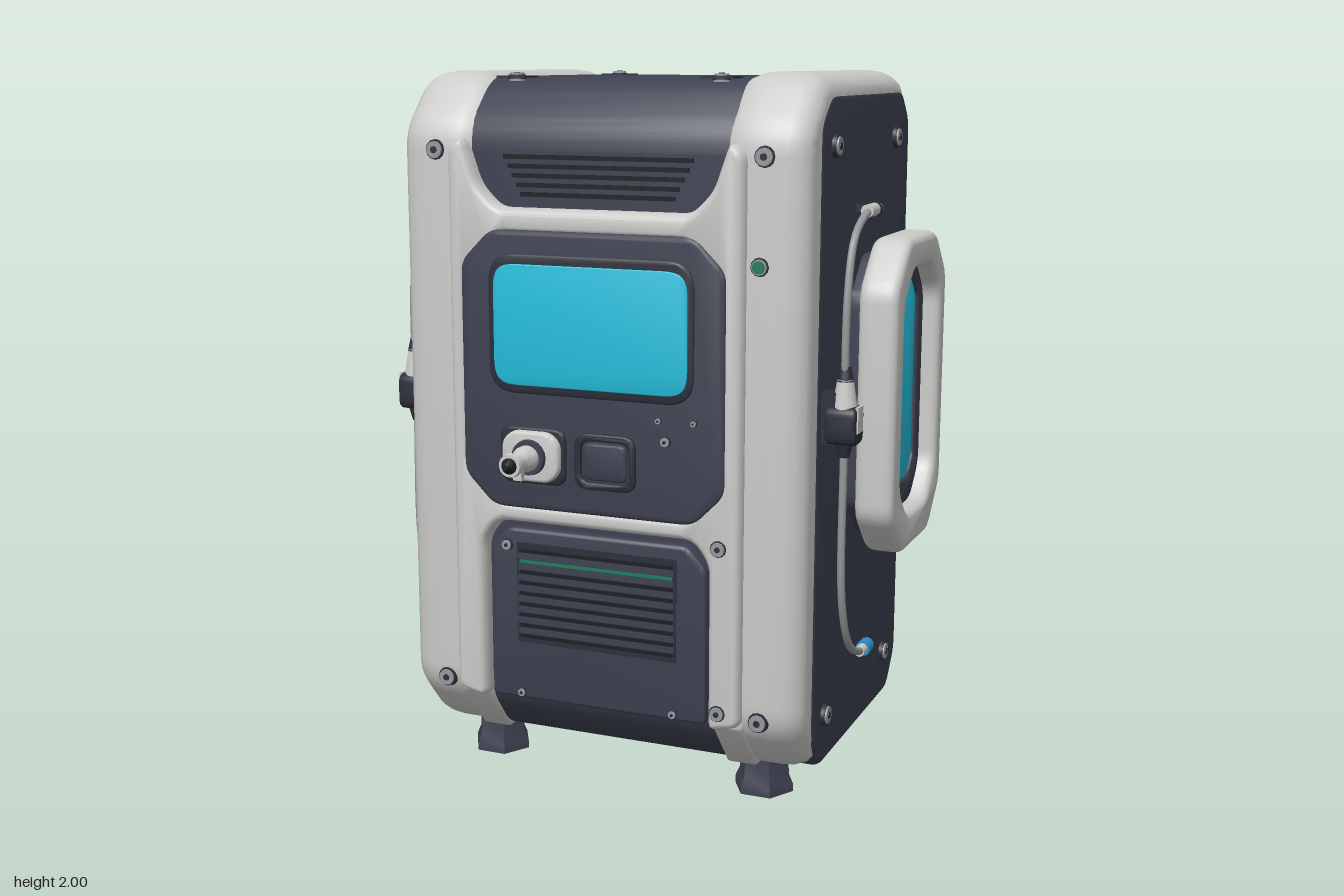
import * as THREE from 'three';
import { toCreasedNormals } from 'three/addons/utils/BufferGeometryUtils.js';

const mat = (name, color) => {
  const m = new THREE.MeshStandardMaterial({ color });
  m.name = name;
  return m;
};

// Polygon with softly rounded corners
function roundedPath(pts, r, Type = THREE.Shape) {
  const path = new Type();
  const v = pts.map(p => new THREE.Vector2(p[0], p[1]));
  v.forEach((p, i) => {
    const a = v[(i + v.length - 1) % v.length], b = v[(i + 1) % v.length];
    const toward = q => p.clone().add(q.clone().sub(p).setLength(Math.min(r, p.distanceTo(q) * 0.45)));
    const s = toward(a), e = toward(b);
    if (i) path.lineTo(s.x, s.y); else path.moveTo(s.x, s.y);
    path.quadraticCurveTo(p.x, p.y, e.x, e.y);
  });
  path.closePath();
  return path;
}

// Rectangle with cut corners
const octagon = (u0, u1, v0, v1, c) => [
  [u0 + c, v0], [u1 - c, v0], [u1, v0 + c], [u1, v1 - c],
  [u1 - c, v1], [u0 + c, v1], [u0, v1 - c], [u0, v0 + c]];

// Slab of an (x, y) outline between z0 and z1
function slabZ(pts, z0, z1, { r = 0.02, bt = 0.01, bs = 0.01, hole } = {}) {
  const shape = roundedPath(pts, r);
  if (hole) shape.holes.push(roundedPath(hole, r, THREE.Path));
  const g = new THREE.ExtrudeGeometry(shape, {
    depth: z1 - z0 - 2 * bt, bevelEnabled: true, bevelThickness: bt, bevelSize: bs,
    bevelOffset: -bs, bevelSegments: 4, curveSegments: 4 });
  g.translate(0, 0, z0 + bt);
  return toCreasedNormals(g, 0.6);
}

// Slab of a (z, y) outline between two x positions
function slabX(pts, xa, xb, opt = {}) {
  const flip = p => p.map(([z, y]) => [-z, y]).reverse();
  const o = { ...opt, hole: opt.hole && flip(opt.hole) };
  return slabZ(flip(pts), Math.min(xa, xb), Math.max(xa, xb), o).rotateY(Math.PI / 2);
}

export function createModel() {
  const root = new THREE.Group();
  root.name = 'machineCabinet';
  const white = mat('offWhite', 0xcbcbc9), dark = mat('slate', 0x3d4150), deep = mat('darkSlate', 0x2c2f3a);
  const black = mat('nearBlack', 0x1c1e25), cyan = mat('cyanGlass', 0x23bddb), steel = mat('steel', 0x96989b);
  const blue = mat('bluePlug', 0x2b8fc4), green = mat('greenLight', 0x1f7a5c);

  const add = (name, geo, m, x = 0, y = 0, z = 0) => {
    const mesh = new THREE.Mesh(geo, m);
    mesh.name = name;
    mesh.position.set(x, y, z);
    root.add(mesh);
    return mesh;
  };
  const box = (name, m, w, h, d, x, y, z) => add(name, new THREE.BoxGeometry(w, h, d), m, x, y, z);

  // Bolt facing along the given direction
  const bolt = (x, y, z, dir, r = 0.03) => {
    const g = new THREE.Group();
    g.name = 'bolt';
    [[r, 0.012, deep], [r * 0.85, 0.022, steel], [r * 0.35, 0.026, deep]].forEach(([rad, h, m]) => {
      const c = new THREE.Mesh(new THREE.CylinderGeometry(rad * 0.9, rad, h, 12), m);
      c.name = 'boltLayer';
      g.add(c);
    });
    g.position.set(x, y, z);
    g.quaternion.setFromUnitVectors(new THREE.Vector3(0, 1, 0), new THREE.Vector3(...dir));
    root.add(g);
  };

  // Dark shell: sides, back and underside
  add('sideAndBackShell', slabX([[0.29, 0.2], [0.2, 0.095], [-0.5, 0.095], [-0.588, 0.2],
    [-0.588, 1.86], [-0.5, 1.95], [0.2, 1.95], [0.29, 1.87]], -0.592, 0.592,
    { r: 0.04, bt: 0.025, bs: 0.022 }), dark);

  // Dark centre band over the top and front
  add('centreBand', slabX([[0.37, 0.25], [0.25, 0.1], [-0.45, 0.12], [-0.57, 0.25],
    [-0.57, 1.91], [-0.5, 1.985], [0.24, 1.985], [0.37, 1.85]], -0.385, 0.385,
    { r: 0.06, bt: 0.005, bs: 0.005 }), dark);

  // Flap where the band runs down the back
  add('backFlap', slabZ([[-0.38, 1.86], [-0.35, 1.68], [-0.28, 1.61], [0.28, 1.61], [0.35, 1.68], [0.38, 1.86]],
    -0.591, -0.58, { bt: 0.002, bs: 0.002 }), dark);

  for (const s of [-1, 1]) {
    // Pale columns at the corners
    add('cornerColumn', slabX([[0.39, 0.26], [0.25, 0.1], [-0.45, 0.12], [-0.56, 0.25],
      [-0.574, 1.92], [-0.5, 2], [0.25, 2], [0.39, 1.85]], s * 0.35, s * 0.59,
      { r: 0.06, bt: 0.09, bs: 0.055 }), white);
    // Pale lip beside the sloping lower front
    add('lowerLip', slabX([[0.385, 0.28], [0.385, 0.25], [0.258, 0.1], [0.2, 0.1], [0.2, 0.28]],
      s * 0.34, s * 0.43, { r: 0.01 }), white);
  }

  // Pale front frame with the display opening
  const half = [[0.43, 1.8], [0.385, 1.83], [0.34, 1.7], [0.28, 1.64]];
  const lowHalf = [[0.29, 0.77], [0.335, 0.71], [0.335, 0.24], [0.43, 0.26]];
  const mirror = p => p.map(([x, y]) => [-x, y]).reverse();
  add('frontFrame', slabZ([...half, ...mirror(half), ...mirror(lowHalf), ...lowHalf], 0.28, 0.418,
    { r: 0.03, bt: 0.035, bs: 0.02, hole: octagon(-0.375, 0.375, 0.83, 1.57, 0.1) }), white);

  // Display panel
  add('displayPanel', slabZ(octagon(-0.388, 0.388, 0.815, 1.585, 0.09), 0.35, 0.424,
    { r: 0.03, bt: 0.015, bs: 0.015 }), dark);
  add('screenBezel', slabZ(octagon(-0.3, 0.3, 1.14, 1.52, 0.04), 0.41, 0.429,
    { r: 0.04, bt: 0.005, bs: 0.008 }), deep);
  add('screen', slabZ(octagon(-0.283, 0.283, 1.163, 1.493, 0.03), 0.425, 0.433,
    { r: 0.04, bt: 0.002, bs: 0.003 }), cyan);

  // Tap with its mounting plate
  add('tapBackplate', slabZ(octagon(-0.27, -0.07, 0.89, 1.05, 0.02), 0.41, 0.432), deep);
  add('tapPlate', slabZ(octagon(-0.255, -0.083, 0.9, 1.04, 0.03), 0.42, 0.452), white);
  const tapParts = [
    ['tapCollar', dark, [[0, 0.44], [0.052, 0.44], [0.048, 0.465], [0, 0.465]]],
    ['tapBody', white, [[0, 0.46], [0.036, 0.46], [0.036, 0.485], [0.025, 0.505], [0.022, 0.535], [0.033, 0.555], [0.031, 0.57], [0, 0.57]]],
    ['tapTip', black, [[0, 0.565], [0.022, 0.565], [0.022, 0.573], [0.008, 0.595], [0, 0.595]]]];
  for (const [name, m, pts] of tapParts) {
    const g = new THREE.LatheGeometry(pts.map(p => new THREE.Vector2(...p)), 20).rotateX(Math.PI / 2);
    add(name, toCreasedNormals(g, 0.6), m, -0.17, 0.97, 0);
  }
  box('tapLever', white, 0.025, 0.05, 0.02, -0.17, 0.945, 0.515);

  // Square button and small indicators
  add('buttonFrame', slabZ(octagon(-0.045, 0.135, 0.89, 1.045, 0.02), 0.41, 0.434,
    { hole: octagon(-0.025, 0.115, 0.91, 1.025, 0.015), bt: 0.005, bs: 0.005 }), deep);
  add('button', slabZ(octagon(-0.02, 0.11, 0.915, 1.02, 0.012), 0.41, 0.432), dark);
  bolt(0.22, 1.04, 0.424, [0, 0, 1], 0.016);
  bolt(0.2, 1.095, 0.422, [0, 0, 1], 0.01);
  bolt(0.3, 1.095, 0.422, [0, 0, 1], 0.01);

  // Upper vent
  for (let i = 0; i < 5; i++) {
    box('upperVentSlot', black, 0.55 - 0.025 * (4 - i), 0.012, 0.012, 0, 1.675 + i * 0.025, 0.369);
  }

  // Lower access panel and vent
  add('lowerPanel', slabZ([[-0.325, 0.25], [0.325, 0.25], [0.325, 0.69], [0.27, 0.75], [-0.27, 0.75], [-0.325, 0.69]],
    0.35, 0.395, { bt: 0.012, bs: 0.012 }), dark);
  box('ventRecess', deep, 0.48, 0.29, 0.006, 0, 0.565, 0.395);
  for (let i = 0; i < 9; i++) {
    box('ventSlat', i === 7 ? green : black, 0.46, 0.009, 0.012, 0, 0.44 + i * 0.031, 0.397);
    if (i < 8) box('ventBlade', dark, 0.47, 0.016, 0.02, 0, 0.4555 + i * 0.031, 0.393);
  }
  for (const x of [-0.23, 0.23]) bolt(x, 0.27, 0.393, [0, 0, 1], 0.014);
  bolt(-0.27, 0.7, 0.395, [0, 0, 1], 0.018);

  // Front bolts and status light
  for (const x of [-0.475, 0.475]) for (const y of [0.28, 1.79]) bolt(x, y, 0.388, [0, 0, 1], 0.03);
  for (const y of [0.3, 0.76]) bolt(0.368, y, 0.415, [0, 0, 1], 0.025);
  bolt(0.465, 1.51, 0.388, [0, 0, 1], 0.027);
  add('statusLight', new THREE.CylinderGeometry(0.017, 0.017, 0.02, 12).rotateX(Math.PI / 2), green, 0.465, 1.51, 0.394);

  // Roof bolts on square pads
  for (const x of [-0.3, 0.3]) for (const z of [-0.46, 0.235]) {
    box('roofPad', deep, 0.09, 0.005, 0.075, x, 1.985, z);
    bolt(x, 1.984, z, [0, 1, 0], 0.026);
  }

  for (const s of [-1, 1]) {
    // Side window
    add('windowBase', slabX(octagon(-0.48, 0, 0.7, 1.5, 0.11), s * 0.58, s * 0.655, { r: 0.03 }), dark);
    add('windowFrame', slabX(octagon(-0.52, 0.04, 0.65, 1.55, 0.13), s * 0.625, s * 0.735,
      { r: 0.04, bt: 0.03, bs: 0.022, hole: octagon(-0.438, -0.06, 0.757, 1.457, 0.09) }), white);
    add('windowSurround', slabX(octagon(-0.465, -0.03, 0.73, 1.48, 0.1), s * 0.64, s * 0.685,
      { bt: 0.01, bs: 0.01, hole: octagon(-0.382, -0.108, 0.828, 1.41, 0.05) }), dark);
    add('windowGlass', slabX(octagon(-0.395, -0.095, 0.81, 1.425, 0.05), s * 0.667, s * 0.676,
      { bt: 0.002, bs: 0.002 }), cyan);

    // Side bolts
    for (const z of [0.17, -0.42]) for (const y of [0.245, 1.81]) bolt(s * 0.597, y, z, [s, 0, 0], 0.032);

    // Cable with end plugs and a clip
    const path = [[0.648, 1.633, -0.02], [0.65, 1.625, 0.07], [0.65, 1.57, 0.17], [0.65, 1.43, 0.22],
      [0.65, 1, 0.225], [0.65, 0.6, 0.215], [0.65, 0.45, 0.14], [0.65, 0.395, 0.04], [0.648, 0.385, -0.03]];
    const curve = new THREE.CatmullRomCurve3(path.map(([x, y, z]) => new THREE.Vector3(s * x, y, z)));
    add('cable', new THREE.TubeGeometry(curve, 48, 0.011, 8), steel);
    const plug = (name, m, r, l, y, z) => add(name, new THREE.CylinderGeometry(r, r, l, 12).rotateX(Math.PI / 2), m, s * 0.648, y, z);
    plug('upperPlug', white, 0.018, 0.07, 1.633, 0.015);
    plug('upperPlugTip', blue, 0.016, 0.025, 1.633, -0.045);
    plug('upperPlugCollar', deep, 0.02, 0.015, 1.633, -0.027);
    plug('lowerPlugSleeve', white, 0.015, 0.035, 0.388, 0.005);
    plug('lowerPlugTip', blue, 0.021, 0.045, 0.386, -0.035);
    box('upperSocket', deep, 0.07, 0.02, 0.025, s * 0.615, 1.633, -0.045);
    add('clipBody', slabX(octagon(0.178, 0.265, 1.03, 1.135, 0.015), s * 0.605, s * 0.69), deep);
    box('clipMount', deep, 0.05, 0.14, 0.06, s * 0.605, 1.1, 0.22);
    box('clipLabel', white, 0.008, 0.07, 0.045, s * 0.69, 1.1, 0.225);
    add('clipSleeve', new THREE.CylinderGeometry(0.022, 0.034, 0.08, 14), white, s * 0.65, 1.165, 0.224);
    add('clipCap', new THREE.CylinderGeometry(0.014, 0.023, 0.04, 14), deep, s * 0.65, 1.22, 0.224);
    add('clipTail', new THREE.CylinderGeometry(0.025, 0.014, 0.04, 14), deep, s * 0.65, 1.015, 0.224);

    // Flared feet
    for (const z of [0.163, -0.505]) {
      const foot = new THREE.LatheGeometry([[0, 0], [0.087, 0], [0.087, 0.02], [0.074, 0.05], [0.07, 0.115], [0, 0.115]]
        .map(p => new THREE.Vector2(...p)), 6).rotateY(Math.PI / 6);
      add('foot', toCreasedNormals(foot, 0.4), dark, s * 0.418, 0, z);
    }
  }
  return root;
}
